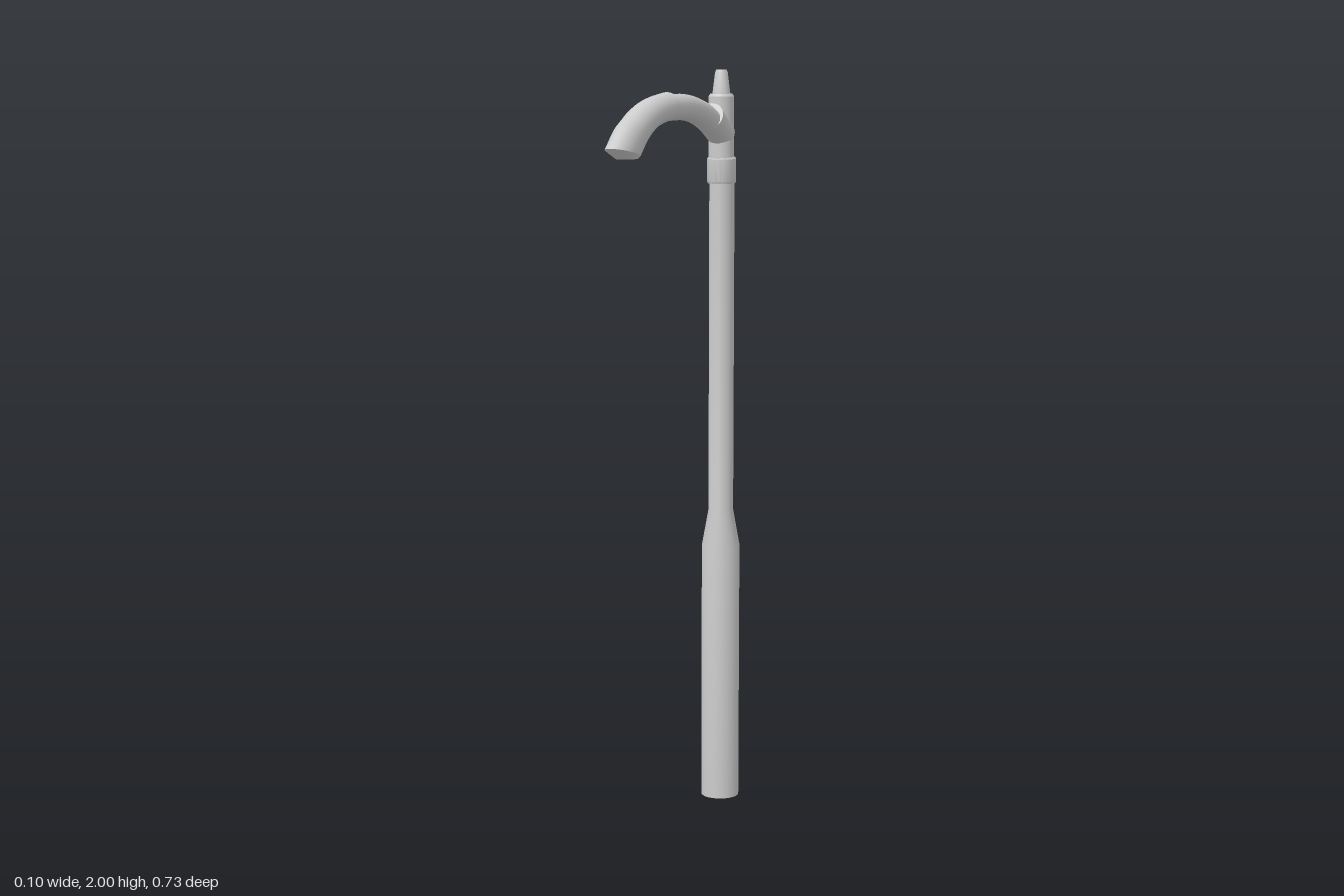
import * as THREE from 'three';
import { mergeGeometries, toCreasedNormals } from 'three/addons/utils/BufferGeometryUtils.js';

const SIDES = 24;
const material = new THREE.MeshStandardMaterial({ color: 0xcccccc });

// Round part turned about a vertical axis, with sharp edges kept
function turned(name, z, profile) {
  const points = profile.map(([r, y]) => new THREE.Vector2(r, y));
  const geometry = toCreasedNormals(new THREE.LatheGeometry(points, SIDES), 0.15 + 2 * Math.PI / SIDES);
  const mesh = new THREE.Mesh(geometry, material);
  mesh.name = name;
  mesh.position.z = z;
  return mesh;
}

// Skin over elliptical sections: [top z, top y, bottom z, bottom y, half width]
function loft(sections) {
  const positions = [], index = [];
  sections.forEach(([tz, ty, bz, by, w], i) => {
    for (let j = 0; j < SIDES; j++) {
      const a = (j / SIDES) * Math.PI * 2, c = Math.cos(a) / 2;
      positions.push(w * Math.sin(a), (ty + by) / 2 + c * (ty - by), (tz + bz) / 2 + c * (tz - bz));
      if (i === 0) continue;
      const k = (j + 1) % SIDES, p = (i - 1) * SIDES, q = i * SIDES;
      index.push(p + j, q + j, p + k, p + k, q + j, q + k);
    }
  });
  const geometry = new THREE.BufferGeometry();
  geometry.setAttribute('position', new THREE.Float32BufferAttribute(positions, 3));
  geometry.setIndex(index);
  geometry.computeVertexNormals();
  return geometry;
}

// A section shrunk to its centre, used to close an end
function centre([tz, ty, bz, by]) {
  return [(tz + bz) / 2, (ty + by) / 2, (tz + bz) / 2, (ty + by) / 2, 0];
}

// Smoothly subdivided sections running from the back to the front
function smooth(sections, width, steps) {
  const curveOf = (k) => new THREE.CatmullRomCurve3(sections.map((s) => new THREE.Vector3(0, s[k + 1], s[k])));
  const top = curveOf(0), bottom = curveOf(2);
  return Array.from({ length: steps + 1 }, (_, i) => {
    const t = top.getPoint(i / steps), b = bottom.getPoint(i / steps);
    return [t.z, t.y, b.z, b.y, width];
  });
}

export function createModel() {
  const group = new THREE.Group();
  group.name = 'streetLamp';

  // Pole with wide base, collar, stem and tapered finial
  group.add(turned('pole', -0.311, [[0, 0], [0.052, 0], [0.052, 0.71], [0.034, 0.81], [0.034, 1.71], [0, 1.71]]));
  group.add(turned('collar', -0.309, [[0, 1.7], [0.037, 1.7], [0.039, 1.705], [0.039, 1.765], [0.036, 1.77], [0, 1.77]]));
  group.add(turned('stem', -0.305, [[0, 1.76], [0.034, 1.76], [0.034, 1.93], [0.03, 1.937], [0, 1.937]]));
  group.add(turned('finial', -0.305, [[0, 1.93], [0.025, 1.93], [0.017, 1.993], [0.014, 2], [0, 2]]));

  // Slanted socket that holds the arm
  const socket = new THREE.Mesh(new THREE.CylinderGeometry(0.04, 0.037, 0.1, SIDES), material);
  socket.name = 'armSocket';
  socket.position.set(0, 1.854, -0.266);
  socket.rotation.x = Math.PI / 2 - 0.54;
  group.add(socket);

  // Curved arm
  const armSections = smooth([
    [-0.27, 1.885, -0.24, 1.825],
    [-0.185, 1.92, -0.158, 1.857],
    [-0.07, 1.943, -0.067, 1.876],
    [0.06, 1.946, 0.055, 1.879],
  ], 0.034, 12);
  const arm = new THREE.Mesh(loft(armSections), material);
  arm.name = 'arm';
  group.add(arm);

  // Lamp head, cut off obliquely at its front
  const headSections = smooth([
    [0.04, 1.952, 0.034, 1.881],
    [0.14, 1.941, 0.125, 1.867],
    [0.22, 1.919, 0.17, 1.85],
    [0.265, 1.898, 0.198, 1.833],
    [0.305, 1.878, 0.217, 1.816],
    [0.365, 1.826, 0.235, 1.799],
  ], 0.038, 15);
  const back = headSections[0], rim = headSections.at(-1);
  const head = new THREE.Mesh(mergeGeometries([loft([centre(back), back]), loft(headSections)]), material);
  head.name = 'lampHead';
  group.add(head);

  // Lens: sloping border around a flat underside
  const flat = [0.312, 1.797, 0.242, 1.797, 0.026];
  const lens = new THREE.Mesh(mergeGeometries([loft([rim, flat]), loft([flat, centre(flat)])]), material);
  lens.name = 'lens';
  group.add(lens);

  return group;
}
